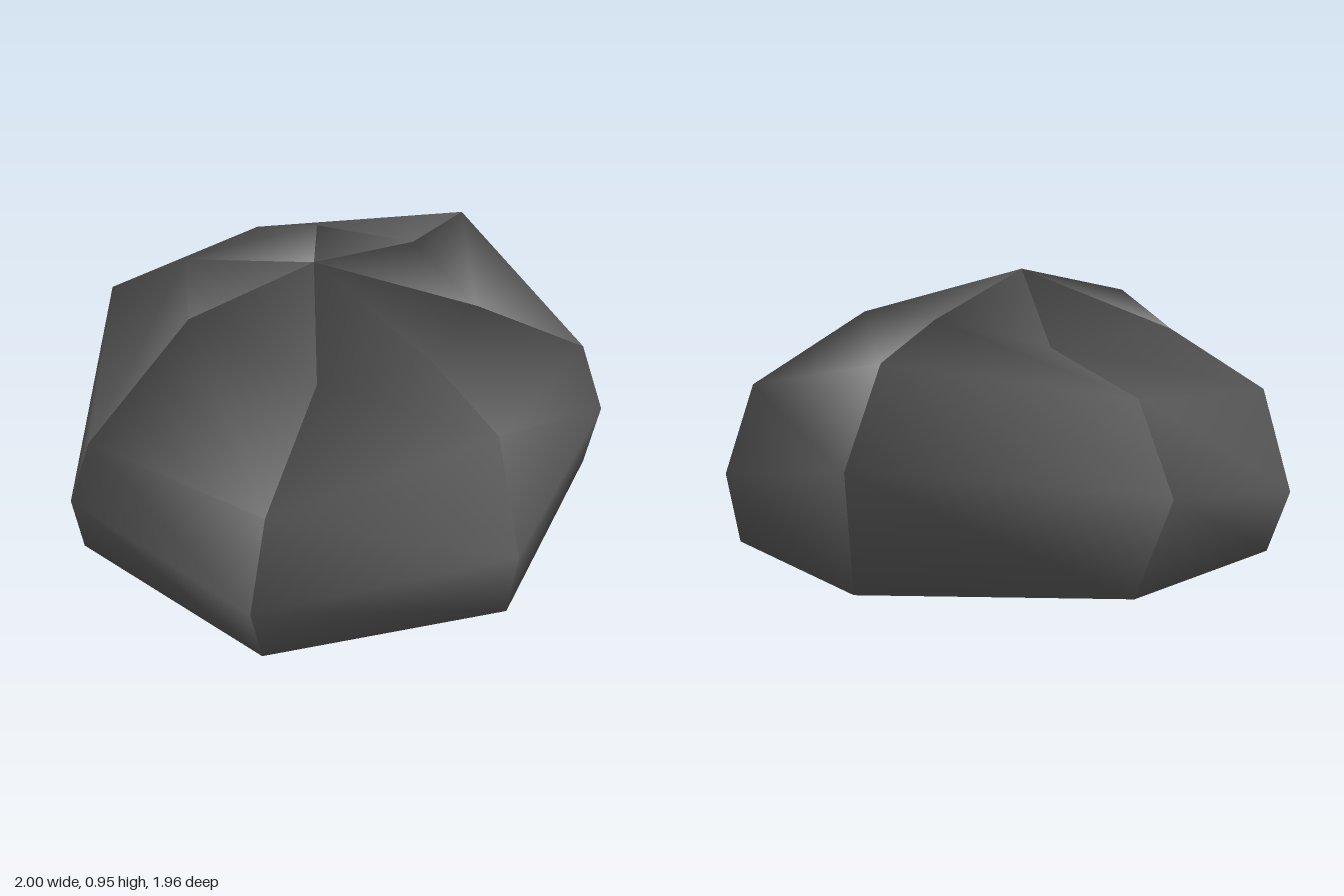
import * as THREE from 'three';

const stone = new THREE.MeshStandardMaterial({ color: 0x5c5c5c });
stone.name = 'dark grey stone';

// Ridge profiles, counterclockwise seen from above: shoulder, upper, belly, foot
const ridges = [
  [[0.38, 0.80, -0.34], [0.56, 0.56, -0.71], [0.60, 0.25, -0.81], [0.58, 0, -0.77]],
  [[-0.06, 0.81, -0.43], [-0.21, 0.72, -0.82], [-0.21, 0.40, -0.98], [-0.20, 0, -0.94]],
  [[-0.46, 0.74, -0.30], [-0.78, 0.60, -0.25], [-1.00, 0.33, -0.36], [-0.88, 0, -0.39]],
  [[-0.55, 0.76, 0.24], [-0.83, 0.56, 0.40], [-0.96, 0.22, 0.38], [-0.88, 0, 0.37]],
  [[-0.12, 0.85, 0.52], [-0.21, 0.45, 0.90], [-0.24, 0.21, 0.98], [-0.22, 0, 0.96]],
  [[0.37, 0.79, 0.36], [0.56, 0.55, 0.72], [0.60, 0.22, 0.82], [0.60, 0, 0.78]],
  [[0.53, 0.80, 0.00], [0.82, 0.66, -0.03], [1.00, 0.29, 0.02], [0.96, 0, 0.01]],
];
const apex = [-0.01, 0.95, 0.07];
const baseCentre = [-0.01, 0, 0.07];

// One closed wedge with shared vertices, so its normals round off at the ridges
function wedge(left, right) {
  const n = left.length;
  const points = [apex, baseCentre, ...left, ...right];
  const L = (i) => 2 + i;
  const R = (i) => 2 + n + i;
  const index = [0, L(0), R(0)]; // cap
  for (let i = 0; i < n - 1; i++) {
    // outer panel
    index.push(L(i), L(i + 1), R(i + 1), L(i), R(i + 1), R(i));
    // hidden side walls
    index.push(1, L(i + 1), L(i), 1, R(i), R(i + 1));
  }
  index.push(1, L(0), 0, 1, 0, R(0));
  index.push(1, R(n - 1), L(n - 1)); // underside
  const geometry = new THREE.BufferGeometry();
  geometry.setAttribute('position', new THREE.Float32BufferAttribute(points.flat(), 3));
  geometry.setIndex(index);
  geometry.computeVertexNormals();
  return geometry;
}

export function createModel() {
  const model = new THREE.Group();
  model.name = 'segmentedRock';
  ridges.forEach((ridge, i) => {
    const mesh = new THREE.Mesh(wedge(ridge, ridges[(i + 1) % ridges.length]), stone);
    mesh.name = `rockSegment${i + 1}`;
    model.add(mesh);
  });
  return model;
}
